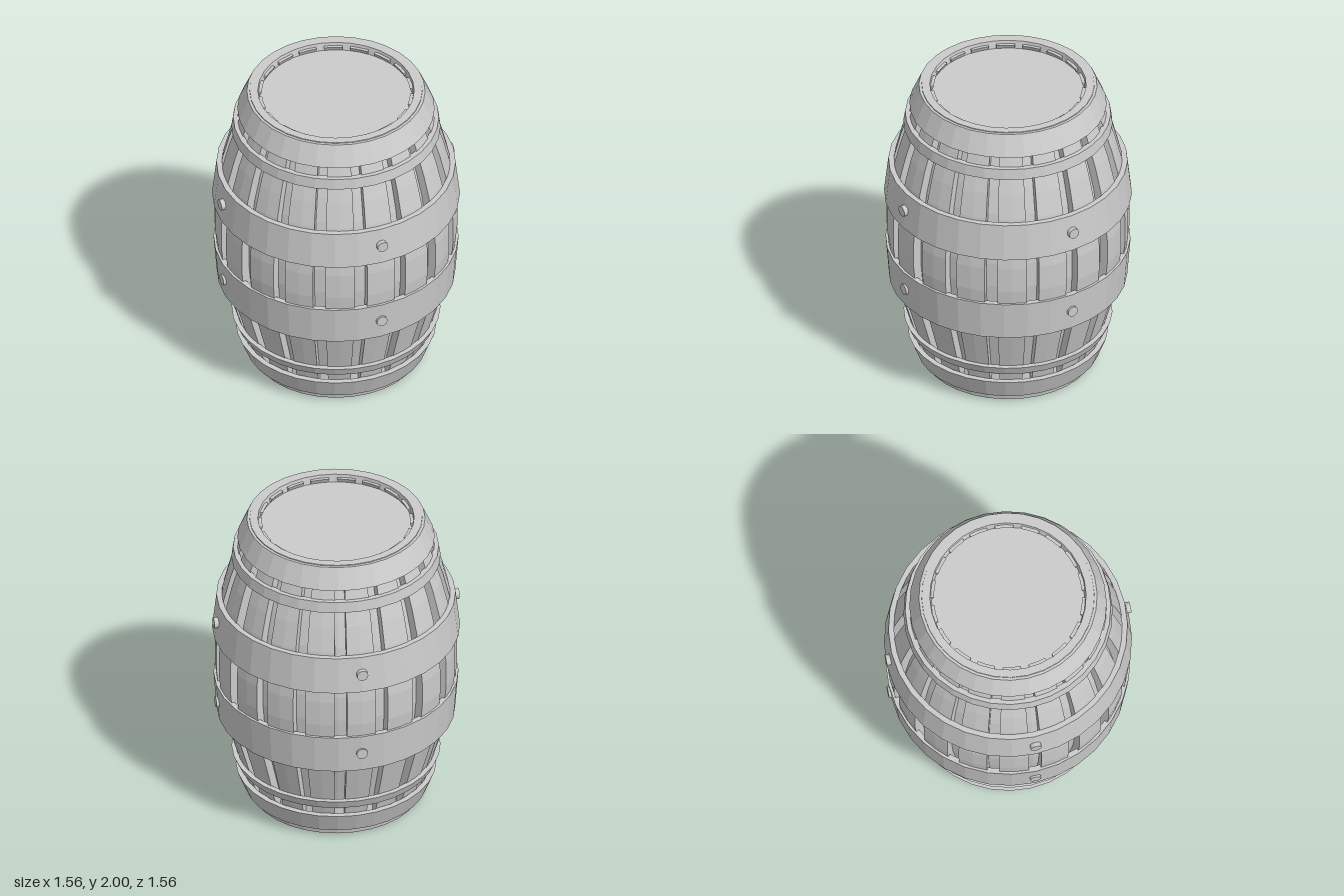
import * as THREE from 'three';

const SIDES = 32, STAVES = 18;
const HALF_STAVE = THREE.MathUtils.degToRad(7);

// Outer stave profile: [radius, height]
const PROFILE = [
  [0.535, 0.03], [0.58, 0.18], [0.625, 0.34], [0.7, 0.6], [0.737, 0.8], [0.752, 0.95],
  [0.752, 1.12], [0.742, 1.22], [0.705, 1.46], [0.665, 1.62], [0.62, 1.76], [0.575, 1.9], [0.54, 1.98],
];

// Lower radius, lower height, upper radius, upper height
const HOOPS = {
  bottomHoop: [0.57, 0.05, 0.622, 0.185],
  lowerThinHoop: [0.622, 0.25, 0.648, 0.31],
  lowerWideHoop: [0.74, 0.6, 0.76, 0.86],
  upperWideHoop: [0.769, 1.2, 0.742, 1.44],
  upperThinHoop: [0.649, 1.72, 0.638, 1.79],
  topHoop: [0.612, 1.86, 0.553, 1.995],
};

const material = new THREE.MeshStandardMaterial({ color: 0xcccccc, flatShading: true });

function lathe(points) {
  return new THREE.LatheGeometry(points.map(([r, y]) => new THREE.Vector2(r, y)), SIDES);
}

function add(parent, name, geometry) {
  const mesh = new THREE.Mesh(geometry, material);
  mesh.name = name;
  parent.add(mesh);
  return mesh;
}

// Bend a box into a curved plank that follows the barrel profile
function staveGeometry() {
  const rows = PROFILE.length - 1;
  const geometry = new THREE.BoxGeometry(2, rows, 1, 2, rows, 1);
  const p = geometry.attributes.position;
  for (let i = 0; i < p.count; i++) {
    const [radius, y] = PROFILE[Math.round(p.getY(i) + rows / 2)];
    const r = p.getZ(i) > 0 ? radius : radius - 0.08;
    const a = p.getX(i) * HALF_STAVE;
    p.setXYZ(i, Math.sin(a) * r, y, Math.cos(a) * r);
  }
  geometry.computeVertexNormals();
  return geometry;
}

export function createModel() {
  const barrel = new THREE.Group();
  barrel.name = 'barrel';

  // Inner body seen between the staves, with closed base and recessed lid
  const inner = PROFILE.slice(1, -1).map(([r, y]) => [r - 0.055, y]);
  add(barrel, 'body', lathe([
    [0, 0], [0.53, 0], [0.54, 0.06], ...inner,
    [0.545, 1.94], [0.535, 2], [0.485, 2], [0.475, 1.95], [0, 1.95],
  ]));

  // Raised staves
  const staves = new THREE.Group();
  staves.name = 'staves';
  const stave = staveGeometry();
  for (let i = 0; i < STAVES; i++) {
    add(staves, 'stave', stave).rotation.y = (i / STAVES) * Math.PI * 2;
  }
  barrel.add(staves);

  // Metal hoops
  for (const [name, [r0, y0, r1, y1]] of Object.entries(HOOPS)) {
    const t = 0.035;
    add(barrel, name, lathe([[r0, y0], [r1, y1], [r1 - t, y1], [r0 - t, y0], [r0, y0]]));
  }

  // Rivets on the wide hoops, four around each
  const rivet = new THREE.CylinderGeometry(0.035, 0.035, 0.06, 16).rotateX(Math.PI / 2);
  for (const [y, tip] of [[0.735, 0.765], [1.325, 0.778]]) {
    for (let i = 0; i < 4; i++) {
      const a = (i * Math.PI) / 2;
      const mesh = add(barrel, 'rivet', rivet);
      mesh.position.set(Math.sin(a) * (tip - 0.03), y, Math.cos(a) * (tip - 0.03));
      mesh.rotation.y = a;
    }
  }
  return barrel;
}
